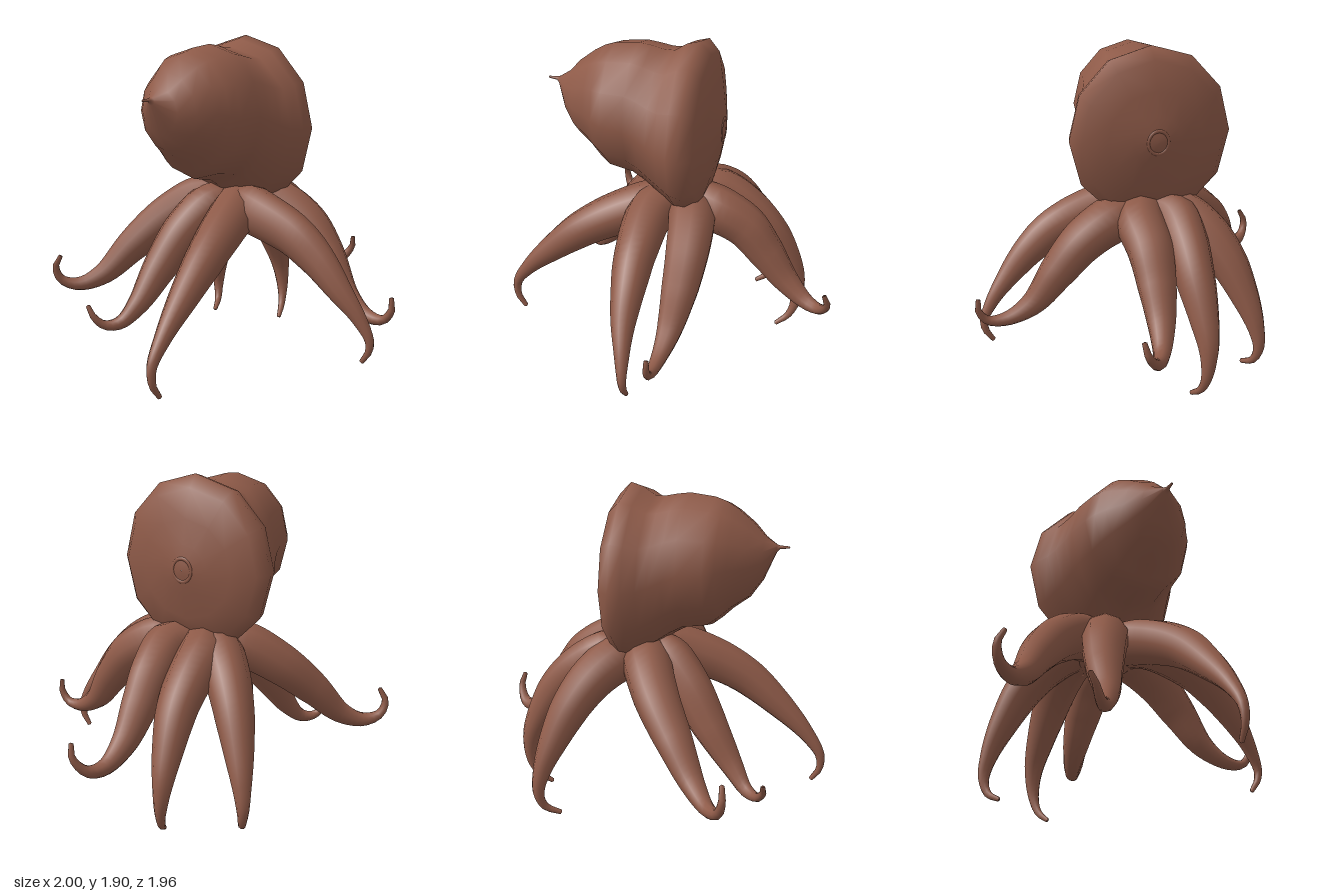
import * as THREE from 'three';

const skin = new THREE.MeshStandardMaterial({ color: 0x8e5a48 });
skin.name = 'brown skin';
const CZ = -0.06;

function add(group, geometry, name) {
  const mesh = new THREE.Mesh(geometry, skin);
  mesh.name = name;
  group.add(mesh);
  return mesh;
}

// Twelve-sided loft along x; each row is [x, top, bottom, half width]
function headGeometry() {
  const rows = [
    [-0.755, 1.602, 1.598, 0.002], [-0.75, 1.606, 1.594, 0.006], [-0.7, 1.608, 1.588, 0.012],
    [-0.685, 1.612, 1.57, 0.025], [-0.62, 1.655, 1.41, 0.125], [-0.55, 1.73, 1.305, 0.2],
    [-0.46, 1.8, 1.235, 0.26], [-0.4, 1.835, 1.175, 0.305], [-0.34, 1.855, 1.125, 0.335],
    [-0.2, 1.87, 1.1, 0.355], [-0.13, 1.86, 1.06, 0.37], [-0.06, 1.845, 1.01, 0.395],
    [0.0, 1.845, 0.97, 0.42], [0.07, 1.89, 0.91, 0.455], [0.14, 1.91, 0.89, 0.47],
    [0.205, 1.84, 0.95, 0.415], [0.245, 1.68, 1.11, 0.28], [0.277, 1.54, 1.26, 0.14],
    [0.293, 1.44, 1.36, 0.04], [0.294, 1.401, 1.399, 0.001],
  ];
  const sides = 12, floor = 0.97, pos = [], index = [];
  rows.forEach(([x, top, bottom, w], i) => {
    for (let j = 0; j < sides; j++) {
      const a = (j / sides) * Math.PI * 2;
      const y = (top + bottom) / 2 + (top - bottom) / 2 * Math.cos(a);
      pos.push(x, Math.max(y, floor), CZ + w * Math.sin(a));
      if (i === rows.length - 1) continue;
      const p = i * sides + j, q = i * sides + (j + 1) % sides;
      index.push(p, q, p + sides, q, q + sides, p + sides);
    }
  });
  const g = new THREE.BufferGeometry();
  g.setAttribute('position', new THREE.Float32BufferAttribute(pos, 3));
  g.setIndex(index);
  g.computeVertexNormals();
  return g;
}

// Radius along an arm, as [fraction of length, radius]
const taper = [[0, 0.13], [0.12, 0.14], [0.28, 0.127], [0.45, 0.107], [0.6, 0.08], [0.75, 0.048], [0.87, 0.027], [1, 0.013]];
function armRadius(u) {
  const k = Math.max(1, taper.findIndex(([t]) => t >= u));
  const [t0, r0] = taper[k - 1], [t1, r1] = taper[k];
  return r0 + (r1 - r0) * (u - t0) / (t1 - t0);
}

// Tube whose rings are resized by the taper and closed at both ends
function armGeometry(points) {
  const n = 36, sides = 10;
  const first = new THREE.Vector3(...points[0]);
  const root = new THREE.Vector3(0.07, 0.93, CZ).lerp(first, 0.4);
  const curve = new THREE.CatmullRomCurve3([root, ...points.map((p) => new THREE.Vector3(...p))]);
  const g = new THREE.TubeGeometry(curve, n, 1, sides);
  const pos = g.attributes.position, normal = g.attributes.normal, v = new THREE.Vector3();
  for (let i = 0; i <= n; i++) {
    const u = i === 1 ? 0.01 : i === n - 1 ? 0.995 : i / n;
    const r = i === 0 || i === n ? 0 : armRadius(u);
    const centre = curve.getPointAt(u);
    for (let j = 0; j <= sides; j++) {
      const k = i * (sides + 1) + j;
      v.fromBufferAttribute(normal, k).multiplyScalar(r).add(centre);
      pos.setXYZ(k, v.x, v.y, v.z);
    }
  }
  return g;
}

const arms = {
  frontRightArm: [[-0.07, 0.93, 0.15], [-0.085, 0.83, 0.44], [-0.08, 0.71, 0.6], [-0.07, 0.55, 0.745], [-0.045, 0.4, 0.86], [-0.03, 0.28, 0.915], [-0.025, 0.2, 0.895], [-0.025, 0.155, 0.86]],
  frontLeftArm: [[0.165, 0.93, 0.17], [0.19, 0.83, 0.35], [0.185, 0.66, 0.5], [0.16, 0.46, 0.65], [0.135, 0.37, 0.8], [0.125, 0.37, 0.91], [0.125, 0.44, 0.96], [0.125, 0.51, 0.955]],
  leftFrontArm: [[0.27, 0.94, 0.04], [0.45, 0.845, 0.035], [0.58, 0.69, 0.035], [0.72, 0.51, 0.05], [0.85, 0.41, 0.09], [0.935, 0.41, 0.14], [0.98, 0.49, 0.2], [0.96, 0.57, 0.22]],
  leftBackArm: [[0.25, 0.93, -0.17], [0.4, 0.85, -0.185], [0.55, 0.71, -0.19], [0.67, 0.52, -0.205], [0.745, 0.34, -0.215], [0.755, 0.18, -0.205], [0.715, 0.075, -0.185], [0.64, 0.015, -0.155]],
  backLeftArm: [[0.17, 0.93, -0.22], [0.28, 0.85, -0.34], [0.38, 0.71, -0.44], [0.47, 0.51, -0.525], [0.53, 0.33, -0.58], [0.55, 0.19, -0.6], [0.52, 0.095, -0.58], [0.435, 0.045, -0.54]],
  backRightArm: [[-0.01, 0.93, -0.28], [-0.12, 0.81, -0.47], [-0.26, 0.64, -0.62], [-0.4, 0.46, -0.75], [-0.5, 0.4, -0.86], [-0.57, 0.43, -0.94], [-0.595, 0.51, -0.96], [-0.585, 0.59, -0.92]],
  rightBackArm: [[-0.09, 0.92, -0.14], [-0.24, 0.79, -0.22], [-0.39, 0.58, -0.29], [-0.53, 0.38, -0.34], [-0.62, 0.28, -0.4], [-0.69, 0.275, -0.46], [-0.735, 0.34, -0.51], [-0.735, 0.39, -0.54]],
  rightFrontArm: [[-0.1, 0.92, 0.05], [-0.3, 0.85, 0.11], [-0.5, 0.74, 0.15], [-0.7, 0.575, 0.165], [-0.875, 0.4, 0.17], [-0.97, 0.26, 0.17], [-0.97, 0.16, 0.175], [-0.92, 0.08, 0.18]],
};

export function createModel() {
  const group = new THREE.Group();
  group.name = 'octopus';
  add(group, headGeometry(), 'head');

  // Low ring set into the middle of the flat side of the head
  const ring = add(group, new THREE.TorusGeometry(0.058, 0.011, 8, 24), 'mouthRing');
  ring.rotation.y = Math.PI / 2;
  ring.scale.y = 1.12;
  ring.position.set(0.283, 1.4, CZ);

  // Webbed core joining the arms under the head
  const hub = add(group, new THREE.SphereGeometry(0.2, 20, 14), 'hub');
  hub.scale.y = 0.75;
  hub.position.set(0.07, 0.91, CZ);

  for (const [name, points] of Object.entries(arms)) add(group, armGeometry(points), name);
  return group;
}
